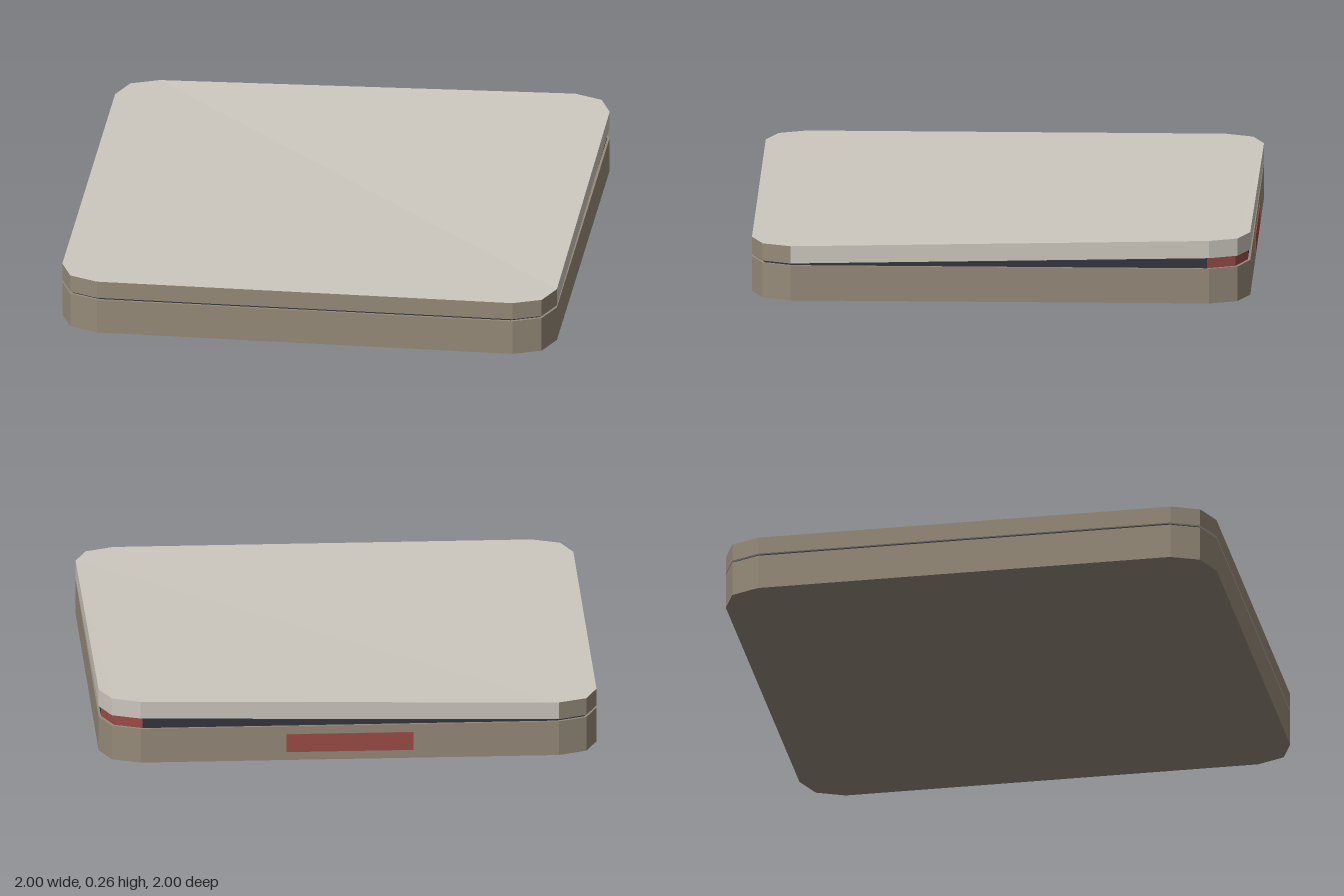
import * as THREE from 'three';

const taupe = new THREE.MeshStandardMaterial({ name: 'taupe', color: 0x968b7a });
const pale = new THREE.MeshStandardMaterial({ name: 'paleGrey', color: 0xcdc8bf });
const dark = new THREE.MeshStandardMaterial({ name: 'darkSeam', color: 0x34353f });
const red = new THREE.MeshStandardMaterial({ name: 'mutedRed', color: 0x9c4c46 });

// Square outline with bevelled corners, counterclockwise from above.
// Points 0-2 are the back corner at +x, which the lid lifts.
const outline = [];
for (let k = 0; k < 4; k++) {
  const c = [1, 0, -1, 0][k], s = [0, 1, 0, -1][k];
  for (const [u, v] of [[1, 0.84], [0.953, 0.953], [0.84, 1]]) {
    const x = c * u - s * v, up = s * u + c * v;
    outline.push([x, -up]);
  }
}
const LIFT = 0.035;

// Slab between two heights; each end may follow the lifted corner.
// sideIndex picks the material slot of each side facet; caps use capSlot.
function slab(name, scale, y0, y1, lift0, lift1, materials, sideIndex, capSlot) {
  const slots = materials.map(() => []);
  const at = (i, y, lift) => {
    const [x, z] = outline[i % 12];
    return [x * scale, y + (i % 12 < 3 ? lift : 0), z * scale];
  };
  const bottom = (i) => at(i, y0, lift0);
  const top = (i) => at(i, y1, lift1);

  // Side facets
  for (let i = 0; i < 12; i++) {
    const [a, b, c, d] = [bottom(i), bottom(i + 1), top(i + 1), top(i)];
    slots[sideIndex(i)].push(...a, ...b, ...c, ...a, ...c, ...d);
  }
  // Caps: a raised part next to the lifted corner and a flat part
  const triangles = [[1, 2, 3], [1, 3, 11], [1, 11, 0]];
  for (let i = 4; i < 11; i++) triangles.push([3, i, i + 1]);
  for (const [a, b, c] of triangles) {
    slots[capSlot].push(...top(a), ...top(b), ...top(c));
    slots[capSlot].push(...bottom(a), ...bottom(c), ...bottom(b));
  }

  const geometry = new THREE.BufferGeometry();
  geometry.setAttribute('position', new THREE.Float32BufferAttribute(slots.flat(), 3));
  let start = 0;
  slots.forEach((p, i) => {
    geometry.addGroup(start, p.length / 3, i);
    start += p.length / 3;
  });
  geometry.computeVertexNormals();
  const mesh = new THREE.Mesh(geometry, materials);
  mesh.name = name;
  return mesh;
}

export function createModel() {
  const group = new THREE.Group();
  group.name = 'liddedTray';

  // Base block
  group.add(slab('base', 1, 0, 0.143, 0, 0, [taupe], () => 0, 0));

  // Recessed wedge in the seam, red at the lifted corner
  group.add(slab('seam', 0.99, 0.143, 0.152, 0, LIFT, [dark, red], (i) => (i < 2 ? 1 : 0), 0));

  // Lid, pale on top and on the sides that rise
  group.add(slab('lid', 1, 0.152, 0.223, LIFT, LIFT, [pale, taupe],
    (i) => (i < 3 || i === 11 ? 0 : 1), 0));

  // Thin label plate on the back
  const plate = new THREE.Mesh(new THREE.BoxGeometry(0.51, 0.075, 0.006), red);
  plate.name = 'backPlate';
  plate.position.set(0, 0.072, -1.001);
  group.add(plate);

  return group;
}
